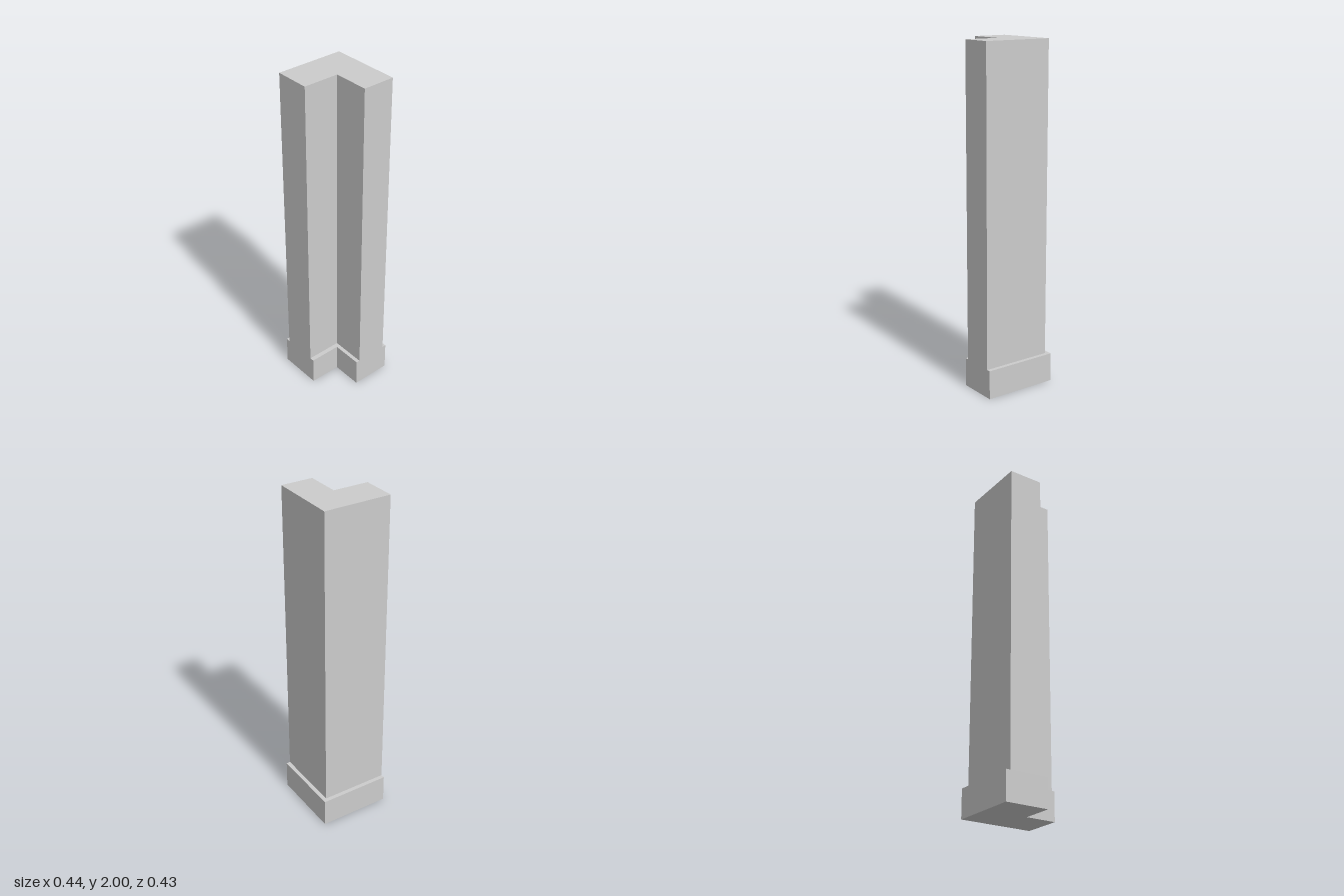
import * as THREE from 'three';

const RIGHT = 0.222, FRONT = 0.214; // flush ends of the two arms

// L-shaped prism: outer corner at (x0, z0), inner corner at (x1, z1)
function cornerPrism(name, x0, z0, x1, z1, bottom, top, material) {
  const outline = [
    [x0, z0], [RIGHT, z0], [RIGHT, z1], [x1, z1], [x1, FRONT], [x0, FRONT],
  ].map(([x, z]) => new THREE.Vector2(x, -z));
  const geometry = new THREE.ExtrudeGeometry(new THREE.Shape(outline), {
    depth: top - bottom,
    bevelEnabled: false,
  });
  geometry.rotateX(-Math.PI / 2).translate(0, bottom, 0);
  const mesh = new THREE.Mesh(geometry, material);
  mesh.name = name;
  return mesh;
}

export function createModel() {
  const material = new THREE.MeshStandardMaterial({ color: 0xcccccc });
  const model = new THREE.Group();
  model.name = 'cornerWall';
  model.add(
    // Wider skirting at the foot
    cornerPrism('skirting', -0.222, -0.214, 0.038, 0.024, 0, 0.17, material),
    // Tall wall corner above it
    cornerPrism('wall', -0.197, -0.19, 0.011, 0.001, 0.17, 2, material),
  );
  return model;
}
